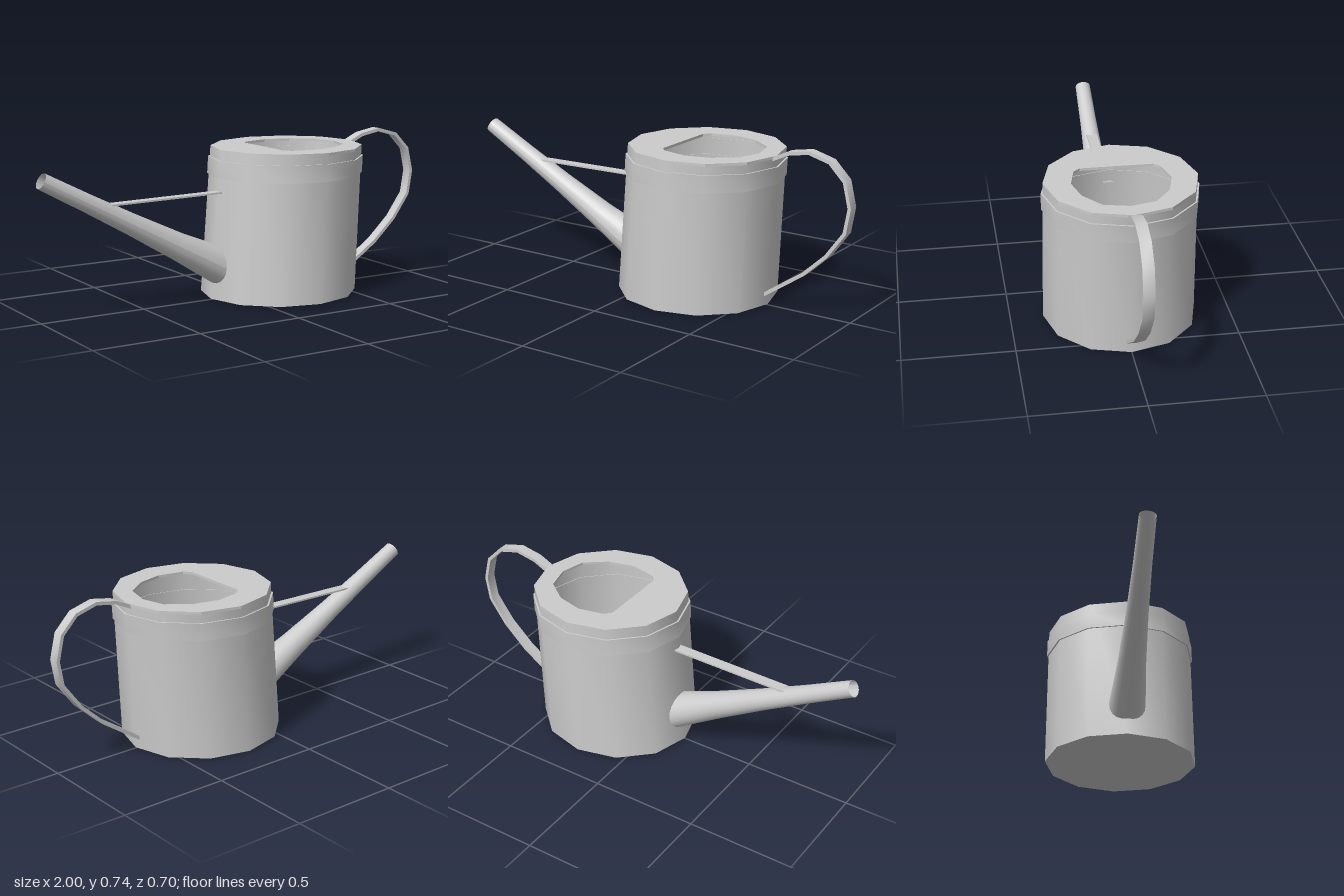
import * as THREE from 'three';
import { toCreasedNormals } from 'three/addons/utils/BufferGeometryUtils.js';

const HEIGHT = 0.69;
const SIDES = 12;
const material = new THREE.MeshStandardMaterial({ color: 0xcccccc, side: THREE.DoubleSide });

// Leaning, slightly tapering body: centre and radii at height y
const centreX = (y) => 0.22 + 0.0425 * (y / HEIGHT);
const radiusX = (y) => 0.37 - 0.012 * (y / HEIGHT);
const radiusZ = (y) => 0.351 - 0.008 * (y / HEIGHT);

function moveVertices(geometry, rule) {
  const p = geometry.attributes.position;
  const v = new THREE.Vector3();
  for (let i = 0; i < p.count; i++) {
    rule(v.fromBufferAttribute(p, i));
    p.setXYZ(i, v.x, v.y, v.z);
  }
  geometry.computeVertexNormals();
  return geometry;
}

// Turns a unit-radius profile into a leaning 12-sided shell
function leaningShell(profile) {
  const points = profile.map(([r, y]) => new THREE.Vector2(r, y));
  const geometry = moveVertices(new THREE.LatheGeometry(points, SIDES), (v) => {
    v.x = centreX(v.y) + v.x * radiusX(v.y);
    v.z *= radiusZ(v.y);
  });
  return toCreasedNormals(geometry, 0.75);
}

// Top plate with a D-shaped filling hole
function lidGeometry() {
  const outline = [];
  for (let i = 0; i < SIDES; i++) {
    const a = (i / SIDES) * Math.PI * 2;
    outline.push(new THREE.Vector2(
      centreX(HEIGHT) + Math.cos(a) * radiusX(HEIGHT), Math.sin(a) * radiusZ(HEIGHT)));
  }
  const half = [[0.137, 0.165], [0.165, 0.195], [0.285, 0.221], [0.405, 0.191], [0.505, 0.115]];
  const hole = [
    ...half.map(([x, z]) => new THREE.Vector2(x, z)),
    new THREE.Vector2(0.534, 0),
    ...half.slice().reverse().map(([x, z]) => new THREE.Vector2(x, -z)),
  ];
  const shape = new THREE.Shape(outline);
  shape.holes.push(new THREE.Path(hole));
  const geometry = new THREE.ExtrudeGeometry(shape, { depth: 0.012, bevelEnabled: false });
  return geometry.rotateX(Math.PI / 2).translate(0, HEIGHT, 0);
}

// Flaring tube whose wide end is trimmed to the body wall
function spoutGeometry() {
  const tip = new THREE.Vector3(-0.985, 0.62, 0);
  const base = new THREE.Vector3(-0.13, 0.165, 0);
  const axis = base.clone().sub(tip);
  const length = axis.length();
  axis.normalize();
  const profile = [[0.037, 0], [0.041, 0.25], [0.049, 0.5], [0.063, 0.77], [0.083, 1]]
    .map(([r, t]) => new THREE.Vector2(r, t * length));
  const turn = new THREE.Quaternion().setFromUnitVectors(new THREE.Vector3(0, 1, 0), axis);
  return moveVertices(new THREE.LatheGeometry(profile, 20), (v) => {
    const atBase = v.y > length - 0.001;
    v.applyQuaternion(turn).add(tip);
    if (atBase) {
      for (let k = 0; k < 4; k++) {
        const wall = centreX(v.y) - radiusX(v.y) * (1 - 0.134 * Math.abs(v.z) / 0.175);
        v.addScaledVector(axis, (wall + 0.004 - v.x) / axis.x);
      }
    }
  });
}

// Flat strap of given width and thickness following points in the x-y plane
function strapGeometry(points, width, thickness) {
  const path = points.map(([x, y]) => new THREE.Vector2(x, y));
  const outer = [];
  const inner = [];
  path.forEach((p, i) => {
    const along = path[Math.min(i + 1, path.length - 1)].clone()
      .sub(path[Math.max(i - 1, 0)]).normalize();
    const side = new THREE.Vector2(-along.y, along.x).multiplyScalar(thickness / 2);
    outer.push(p.clone().add(side));
    inner.unshift(p.clone().sub(side));
  });
  const shape = new THREE.Shape([...outer, ...inner]);
  const geometry = new THREE.ExtrudeGeometry(shape, { depth: width, bevelEnabled: false });
  geometry.translate(0, 0, -width / 2);
  return toCreasedNormals(geometry, 0.75);
}

export function createModel() {
  const model = new THREE.Group();
  model.name = 'wateringCan';
  const add = (name, geometry) => {
    const mesh = new THREE.Mesh(geometry, material);
    mesh.name = name;
    model.add(mesh);
  };

  // Vessel
  add('body', leaningShell([[1, 0.003], [1, HEIGHT]]));
  add('base', leaningShell([[0, 0], [0.6, 0], [1, 0.003]]));
  add('lid', lidGeometry());
  add('band', leaningShell([[0.99, 0.56], [1.02, 0.56], [1.022, 0.64], [0.99, 0.64]]));

  // Spout and its brace
  add('spout', spoutGeometry());
  add('spoutBrace', strapGeometry([[-0.68, 0.489], [-0.1, 0.497]], 0.05, 0.008));

  // Handle loop
  add('handle', strapGeometry([
    [0.6, 0.672], [0.685, 0.712], [0.785, 0.73], [0.887, 0.702], [0.96, 0.627], [0.987, 0.515],
    [0.968, 0.402], [0.884, 0.286], [0.772, 0.182], [0.58, 0.052],
  ], 0.05, 0.016));

  return model;
}
